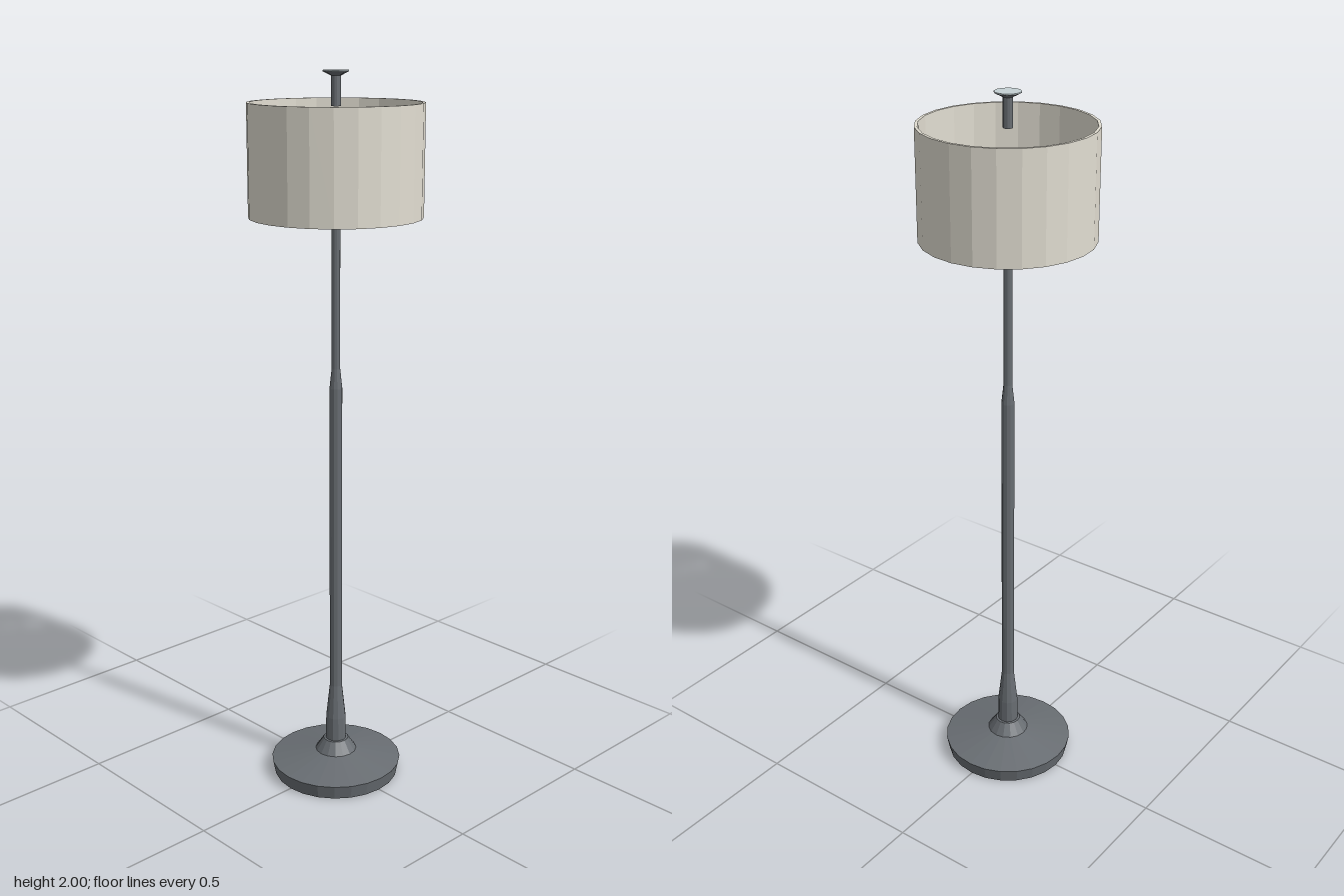
import * as THREE from 'three';

const metal = new THREE.MeshStandardMaterial({ color: 0x686d72 });
metal.name = 'dark metal';
const fabric = new THREE.MeshStandardMaterial({ color: 0xe2ded2 });
fabric.name = 'cream shade';
const glass = new THREE.MeshStandardMaterial({ color: 0xc4d0d4 });
glass.name = 'pale glass';

// Faceted solid of revolution; profile runs [radius, height] from bottom to top
function turned(name, profile, sides, material) {
  const points = profile.map(([r, y]) => new THREE.Vector2(r, y));
  const geometry = new THREE.LatheGeometry(points, sides).toNonIndexed();
  geometry.computeVertexNormals();
  const mesh = new THREE.Mesh(geometry, material);
  mesh.name = name;
  return mesh;
}

export function createModel() {
  const lamp = new THREE.Group();
  lamp.name = 'floorLamp';

  lamp.add(
    // Weighted foot with a sloping top
    turned('base', [[0, 0], [0.18, 0], [0.188, 0.04], [0.06, 0.065], [0, 0.065]], 24, metal),
    turned('collar', [[0.06, 0.064], [0.036, 0.1], [0, 0.103]], 16, metal),

    // Stepped pole reaching the diffuser
    turned('pole', [
      [0.03, 0.09], [0.029, 0.17], [0.018, 0.27], [0.018, 1.16],
      [0.012, 1.215], [0.012, 1.64], [0, 1.64],
    ], 12, metal),

    // Hollow drum shade with a thin wall
    turned('shade', [
      [0.232, 1.625], [0.232, 1.92], [0.224, 1.92], [0.224, 1.625], [0.232, 1.625],
    ], 24, fabric),

    // Diffuser disc just inside the lower rim
    turned('diffuser', [[0, 1.634], [0.208, 1.634], [0.208, 1.64], [0, 1.64]], 20, glass),

    // Bulb hidden in the shade
    turned('bulb', [
      [0.016, 1.64], [0.018, 1.68], [0.036, 1.73], [0.042, 1.765], [0.034, 1.8], [0, 1.818],
    ], 12, fabric),

    // Short rod and flared finial above the shade
    turned('topRod', [[0, 1.91], [0.013, 1.91], [0.013, 1.99], [0, 1.99]], 12, metal),
    turned('finial', [[0.013, 1.986], [0.035, 1.997]], 12, metal),
    turned('finialCap', [[0.035, 1.997], [0.035, 2], [0, 2]], 12, glass),
  );
  return lamp;
}
